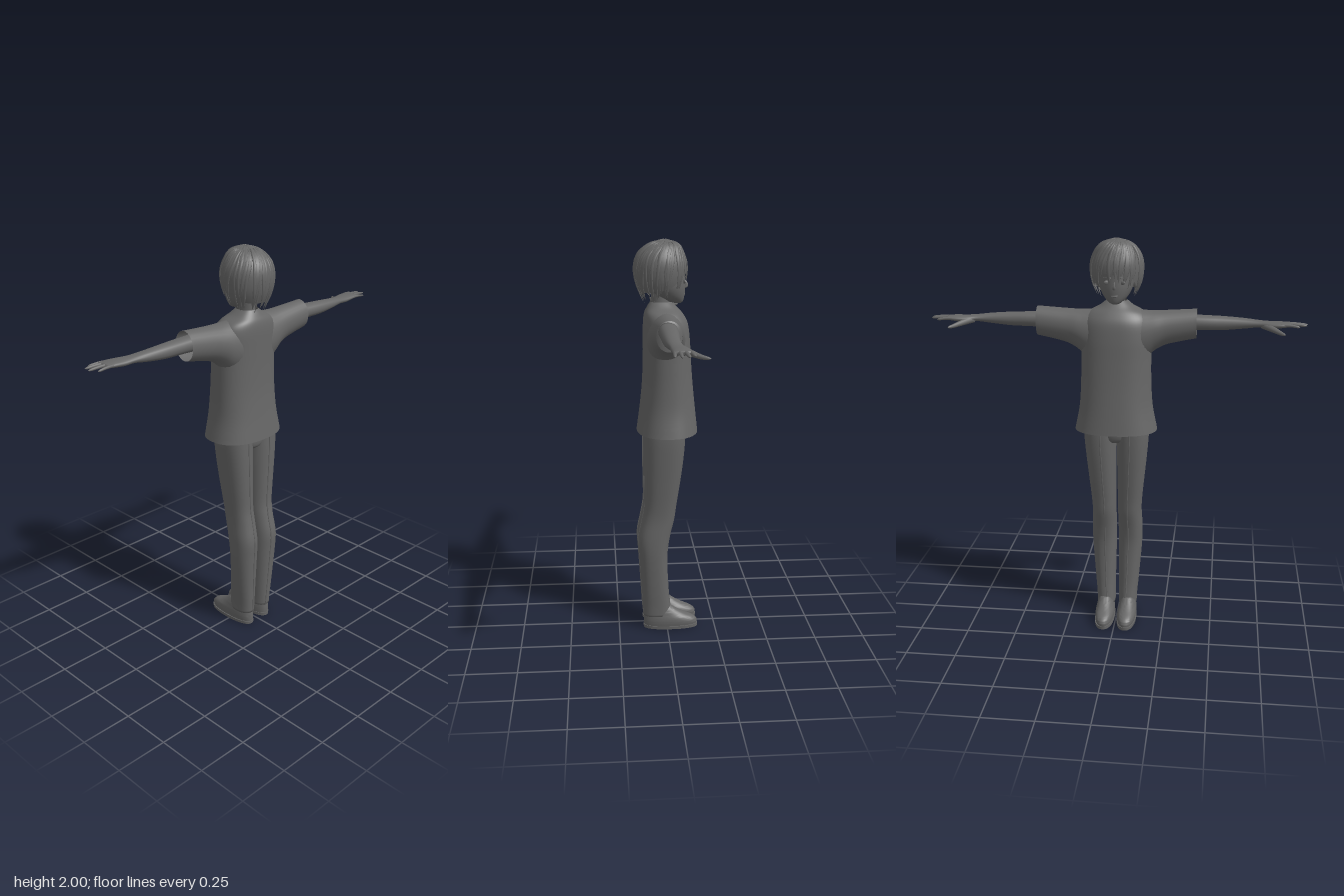
import * as THREE from 'three';
import { toCreasedNormals } from 'three/addons/utils/BufferGeometryUtils.js';

const V = (x, y, z) => new THREE.Vector3(x, y, z);
const material = new THREE.MeshStandardMaterial({ color: 0x666666 });
const clothMaterial = new THREE.MeshStandardMaterial({ color: 0x666666, side: THREE.DoubleSide });

// Skin a list of closed rings, optionally capped at the ends
function skin(rings, capStart = true, capEnd = true) {
  const n = rings[0].length, last = rings.length - 1, pos = [], idx = [];
  rings.forEach(r => r.forEach(p => pos.push(p.x, p.y, p.z)));
  for (let i = 0; i < last; i++) for (let j = 0; j < n; j++) {
    const k = (j + 1) % n, a = i * n + j, b = a + n, c = (i + 1) * n + k, d = i * n + k;
    idx.push(a, b, d, b, c, d);
  }
  const cap = (i, flip) => {
    const m = rings[i].reduce((s, p) => s.add(p), V(0, 0, 0)).divideScalar(n), o = pos.length / 3;
    pos.push(m.x, m.y, m.z);
    for (let j = 0; j < n; j++) {
      const a = i * n + j, b = i * n + (j + 1) % n;
      idx.push(o, flip ? b : a, flip ? a : b);
    }
  };
  if (capStart) cap(0, false);
  if (capEnd) cap(last, true);
  const g = new THREE.BufferGeometry();
  g.setAttribute('position', new THREE.Float32BufferAttribute(pos, 3));
  g.setIndex(idx);
  g.computeVertexNormals();
  return g;
}

// Loft smooth oval sections: axis y rows are [y, x0, x1, z0, z1], axis x rows are [x, z0, z1, y0, y1]
function loft(rows, { axis = 'y', steps = 5, seg = 28, power = 2, caps = [true, true] } = {}) {
  const spline = new THREE.CubicInterpolant(
    new Float32Array(rows.map((_, i) => i)), new Float32Array(rows.flat()), 5);
  const rings = [], total = (rows.length - 1) * steps;
  const bulge = v => Math.sign(v) * Math.abs(v) ** (2 / power);
  for (let i = 0; i <= total; i++) {
    const [t, a0, a1, b0, b1] = spline.evaluate(i / steps);
    rings.push(Array.from({ length: seg }, (_, j) => {
      const w = j / seg * Math.PI * 2;
      const a = (a0 + a1) / 2 + (a1 - a0) / 2 * bulge(Math.cos(w));
      const b = (b0 + b1) / 2 + (b1 - b0) / 2 * bulge(Math.sin(w));
      return axis === 'y' ? V(a, t, b) : V(t, b, a);
    }));
  }
  return skin(rings, ...caps);
}

// Sweep a flattened oval along a curve; size(t) gives [half width, half thickness]
function sweep(points, size, normalAt, steps = 10, seg = 8) {
  const curve = new THREE.CatmullRomCurve3(points), rings = [];
  for (let i = 0; i <= steps; i++) {
    const t = i / steps, c = curve.getPoint(t), T = curve.getTangent(t);
    const S = normalAt(c).clone().cross(T).normalize(), N = T.clone().cross(S), [w, h] = size(t);
    rings.push(Array.from({ length: seg }, (_, j) => {
      const a = j / seg * Math.PI * 2;
      return c.clone().addScaledVector(N, h * Math.cos(a)).addScaledVector(S, w * Math.sin(a));
    }));
  }
  return skin(rings);
}

function mirrorX(geometry) {
  const g = geometry.clone().scale(-1, 1, 1), index = g.index;
  for (let i = 0; i < index.count; i += 3) {
    const b = index.getX(i + 1);
    index.setX(i + 1, index.getX(i + 2));
    index.setX(i + 2, b);
  }
  g.computeVertexNormals();
  return g;
}

// Hair outline: radius by height around an upright axis
const hairAxisZ = 0.026;
const hairProfile = new THREE.CubicInterpolant(
  new Float32Array([1.68, 1.74, 1.79, 1.85, 1.90, 1.95, 1.98, 1.996]),
  new Float32Array([0.078, 0.098, 0.119, 0.127, 0.122, 0.096, 0.06, 0.004]), 1);
function hairPoint(angle, y, offset = 0) {
  const r = hairProfile.evaluate(y)[0] + offset, c = Math.cos(angle);
  // angle 0 is the back of the head; the crown sits slightly forward
  return V(r * Math.sin(angle), y, hairAxisZ - 0.02 * Math.max(0, (y - 1.93) / 0.07) + r * c * (c > 0 ? 1.02 : 1));
}
const hemHeight = angle => {
  const c = Math.cos(angle);
  return c < 0 ? 1.745 + 0.085 * c * c : 1.745 - 0.02 * c;
};

export function createModel() {
  const model = new THREE.Group();
  const add = (name, geometry, parent = model, mat = material) => {
    const mesh = new THREE.Mesh(geometry, mat);
    mesh.name = name;
    parent.add(mesh);
  };
  const pair = (name, geometry, mat = material, crease = 0) => {
    const finish = g => crease ? toCreasedNormals(g, crease) : g;
    add('left' + name, finish(geometry), model, mat);
    add('right' + name, finish(mirrorX(geometry)), model, mat);
  };

  // Shirt: open at hem, neckline and cuffs
  add('shirtBody', loft([
    [1.06, -0.205, 0.205, -0.155, 0.148], [1.18, -0.182, 0.182, -0.142, 0.132],
    [1.30, -0.174, 0.174, -0.13, 0.12], [1.42, -0.172, 0.172, -0.121, 0.115],
    [1.52, -0.172, 0.172, -0.115, 0.114], [1.60, -0.165, 0.165, -0.104, 0.113],
    [1.645, -0.14, 0.14, -0.08, 0.107], [1.675, -0.085, 0.085, -0.052, 0.094],
    [1.702, -0.05, 0.05, -0.026, 0.078],
  ], { power: 2.3, seg: 48, caps: [false, false] }), model, clothMaterial);
  pair('Sleeve', loft([
    [0.05, -0.098, 0.106, 1.37, 1.662], [0.10, -0.088, 0.1, 1.39, 1.66], [0.15, -0.08, 0.095, 1.425, 1.657],
    [0.19, -0.072, 0.089, 1.462, 1.656], [0.24, -0.062, 0.083, 1.489, 1.658],
    [0.31, -0.054, 0.078, 1.507, 1.662], [0.39, -0.047, 0.073, 1.523, 1.667],
  ], { axis: 'x', caps: [false, false] }), clothMaterial);

  // Trousers, with a pressed crease down each leg
  add('trouserSeat', loft([
    [0.985, -0.03, 0.03, -0.03, 0.06], [0.998, -0.06, 0.06, -0.06, 0.09],
    [1.03, -0.085, 0.085, -0.078, 0.106], [1.14, -0.1, 0.1, -0.084, 0.106],
  ], { power: 2.3 }));
  const legRows = [
    [0.07, 0.01, 0.104, -0.022, 0.122], [0.13, 0.01, 0.107, -0.015, 0.126], [0.22, 0.009, 0.115, -0.006, 0.131],
    [0.40, 0.006, 0.129, 0, 0.142], [0.50, 0.006, 0.131, -0.012, 0.147], [0.60, 0.005, 0.127, -0.035, 0.128],
    [0.68, 0.005, 0.131, -0.046, 0.115], [0.80, 0.004, 0.143, -0.064, 0.115], [0.93, 0.002, 0.156, -0.08, 0.116],
    [1.04, 0.0, 0.164, -0.088, 0.115], [1.13, 0.0, 0.162, -0.088, 0.112],
  ];
  pair('TrouserLeg', loft(legRows, { power: 2.3 }));
  for (const [side, column] of [[-1, 3], [1, 4]])
    pair('TrouserCrease', sweep(legRows.map(r => V((r[1] + r[2]) / 2 - 0.008, r[0], r[column])),
      () => [0.004, 0.003], () => V(0, 0, side), 50, 6));

  // Shoes
  pair('Shoe', loft([
    [0.012, 0.01, 0.104, -0.156, 0.12], [0.035, 0.009, 0.107, -0.157, 0.121], [0.055, 0.011, 0.106, -0.135, 0.12],
    [0.075, 0.016, 0.102, -0.09, 0.118], [0.095, 0.021, 0.098, -0.053, 0.115], [0.118, 0.03, 0.09, -0.02, 0.105],
  ], { power: 2.3, seg: 32 }), material, 0.9);
  pair('ShoeSole', loft([
    [0, 0.007, 0.108, -0.16, 0.122], [0.016, 0.007, 0.109, -0.161, 0.123],
  ], { power: 2.3, seg: 32, steps: 1 }), material, 0.7);

  // Arms, running into the palms
  pair('Arm', loft([
    [0.28, -0.035, 0.057, 1.56, 1.642], [0.42, -0.032, 0.055, 1.565, 1.637], [0.52, -0.025, 0.053, 1.567, 1.633],
    [0.62, -0.022, 0.046, 1.577, 1.626], [0.69, -0.028, 0.037, 1.586, 1.619], [0.74, -0.046, 0.035, 1.583, 1.617],
    [0.79, -0.054, 0.033, 1.588, 1.617], [0.835, -0.05, 0.03, 1.595, 1.614],
  ], { axis: 'x', seg: 20, power: 2.2 }));

  // Fingers and thumbs: rounded, tapering tubes
  const up = () => V(0, 1, 0);
  [
    ['IndexFinger', [V(0.79, 1.604, -0.041), V(0.835, 1.605, -0.047), V(0.878, 1.6, -0.057)], 0.0105, 0.35],
    ['MiddleFinger', [V(0.79, 1.605, -0.018), V(0.85, 1.607, -0.024), V(0.912, 1.603, -0.031)], 0.011, 0.35],
    ['RingFinger', [V(0.79, 1.605, 0.003), V(0.85, 1.607, 0.002), V(0.918, 1.603, 0)], 0.0105, 0.35],
    ['LittleFinger', [V(0.78, 1.603, 0.022), V(0.84, 1.604, 0.025), V(0.887, 1.599, 0.028)], 0.0095, 0.35],
    ['Thumb', [V(0.71, 1.597, -0.01), V(0.755, 1.586, -0.058), V(0.785, 1.578, -0.093), V(0.806, 1.575, -0.127)], 0.021, 0.65],
  ].forEach(([name, points, r, taper]) => {
    const size = t => {
      const k = r * (1 - taper * t) * Math.sqrt(Math.max(0.02, 1 - Math.max(0, (t - 0.8) / 0.2) ** 2));
      return [k, k * 0.85];
    };
    pair(name, sweep(points, size, up, 14));
  });

  // Neck and head
  add('neck', loft([
    [1.62, -0.055, 0.055, -0.03, 0.085], [1.68, -0.041, 0.041, -0.018, 0.072], [1.76, -0.04, 0.04, -0.02, 0.075],
  ]));
  add('head', loft([
    [1.694, -0.014, 0.014, -0.072, -0.04], [1.703, -0.032, 0.032, -0.082, -0.005], [1.73, -0.06, 0.06, -0.089, 0.05],
    [1.77, -0.08, 0.08, -0.093, 0.09], [1.82, -0.088, 0.088, -0.092, 0.115], [1.87, -0.09, 0.09, -0.09, 0.12],
    [1.93, -0.07, 0.07, -0.06, 0.09], [1.97, -0.03, 0.03, -0.02, 0.05],
  ], { seg: 36 }));
  add('nose', sweep([V(0, 1.806, -0.088), V(0, 1.788, -0.097), V(0, 1.774, -0.097), V(0, 1.768, -0.088)],
    t => [0.003 + 0.006 * t, 0.003 + 0.006 * Math.sin(t * Math.PI)], () => V(0, 0, -1)));
  for (const y of [1.735, 1.741])
    add('lip', new THREE.SphereGeometry(1, 16, 8).scale(0.018, 0.0035, 0.005).translate(0, y, -0.0875));
  pair('Eye', new THREE.SphereGeometry(1, 16, 10).scale(0.016, 0.01, 0.005).rotateY(0.35).translate(0.036, 1.8, -0.083));
  pair('Eyebrow', sweep([V(0.016, 1.82, -0.091), V(0.036, 1.825, -0.085), V(0.056, 1.82, -0.074)],
    t => [0.0035 * (1.1 - t), 0.003], () => V(0, 0, -1)));
  pair('Ear', new THREE.SphereGeometry(1, 12, 10).scale(0.012, 0.03, 0.018).translate(0.088, 1.79, 0.025));

  // Hair: a fitted cap under layers of tapering locks that swirl from the crown
  const hair = new THREE.Group();
  hair.name = 'hair';
  model.add(hair);
  const capRings = Array.from({ length: 15 }, (_, i) => Array.from({ length: 48 }, (_, j) => {
    const a = j / 48 * Math.PI * 2, t = i / 14, bottom = hemHeight(a) + 0.02;
    return hairPoint(a, bottom + (1.995 - bottom) * Math.sin(t * Math.PI / 2), -0.002);
  }));
  add('hairCap', skin(capRings, false, true), hair, clothMaterial);
  const outward = p => V(p.x, (p.y - 1.86) * 0.9, p.z - hairAxisZ).normalize();
  const addLocks = (count, phase, width, offset, top, drop) => {
    for (let i = 0; i < count; i++) {
      const a = (i + phase + 0.3 * Math.sin(i * 4.1)) / count * Math.PI * 2;
      const tip = hemHeight(a) - drop - 0.016 * Math.sin(i * 2.4 + phase * 5);
      const drift = 0.2 * Math.sin(i * 1.7 + phase), points = [];
      for (let k = 0; k <= 7; k++) {
        const t = k / 7;
        points.push(hairPoint(a + drift * t * t + 0.5 * (1 - t) ** 2, tip + (top - tip) * Math.cos(t * Math.PI / 2), offset));
      }
      add('hairLock', sweep(points, t => {
        const taper = Math.sqrt(Math.max(0.001, 1 - t ** 3));
        return [width * (0.1 + 0.9 * Math.sin(Math.min(1, t * 1.7) * Math.PI / 2)) * taper, 0.0045 * taper];
      }, outward, 16), hair);
    }
  };
  addLocks(24, 0, 0.02, 0, 1.995, 0);
  addLocks(34, 0.5, 0.0095, 0.001, 1.985, 0.012);
  return model;
}
